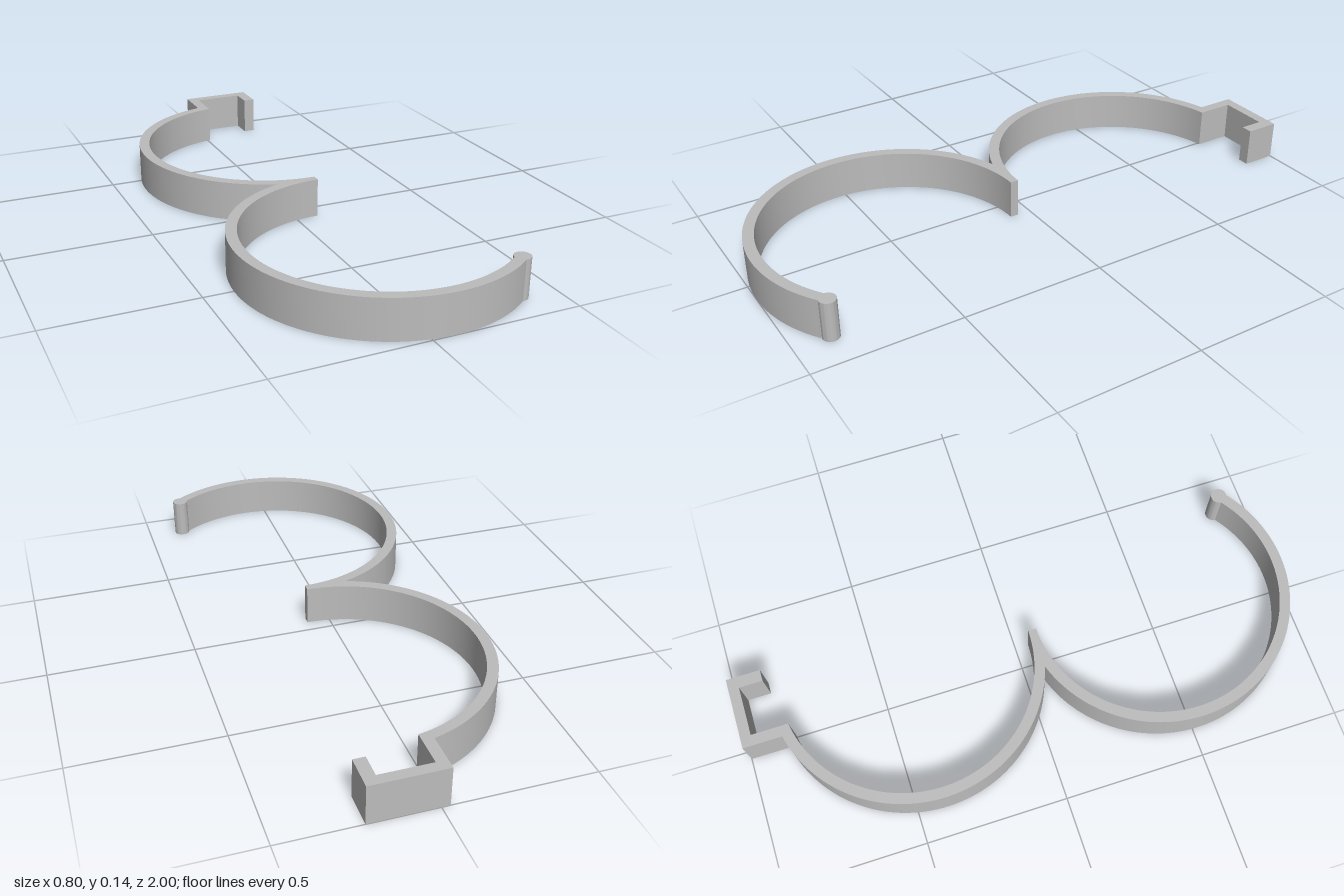
import * as THREE from 'three';
import { toCreasedNormals } from 'three/addons/utils/BufferGeometryUtils.js';

const HEIGHT = 0.137;
const OUTER = 0.48, INNER = 0.443;             // radii of both ring arcs
const CX = 0.08, BACK_Z = -0.395, FRONT_Z = 0.52; // ring centres
const BEAD_R = 0.028, BEAD_ANGLE = THREE.MathUtils.degToRad(51);

// Points along an arc in the ground plane (x, z)
function arc(cx, cz, r, from, to, steps) {
  const pts = [];
  for (let i = 0; i <= steps; i++) {
    const a = from + (to - from) * i / steps;
    pts.push(new THREE.Vector2(cx + r * Math.cos(a), cz + r * Math.sin(a)));
  }
  return pts;
}

function clipOutline() {
  const PI = Math.PI;
  const hookLeft = -0.028, hookInner = 0.01;

  // Where the outer circles meet in the notch between the rings
  const notch = Math.acos((FRONT_Z - BACK_Z) / 2 / OUTER);

  // Rounded bead at the free end of the front ring
  const mid = (OUTER + INNER) / 2, half = (OUTER - INNER) / 2;
  const beadX = CX + mid * Math.cos(BEAD_ANGLE);
  const beadZ = FRONT_Z + mid * Math.sin(BEAD_ANGLE);
  const back = Math.sqrt(BEAD_R ** 2 - half ** 2);
  const sweep = PI / 2 + Math.acos(half / BEAD_R);
  const tip = BEAD_ANGLE - PI / 2;

  return new THREE.Shape([
    // Outer walls, back ring then front ring
    ...arc(CX, BACK_Z, OUTER, 1.5 * PI - Math.asin((CX - hookLeft) / OUTER), PI / 2 + notch, 72),
    ...arc(CX, FRONT_Z, OUTER, 1.5 * PI - notch, BEAD_ANGLE + back / OUTER, 80).slice(1),
    // Bead
    ...arc(beadX, beadZ, BEAD_R, tip + sweep, tip - sweep, 28).slice(1),
    // Inner walls, front ring then back ring, joined by the pointed middle tab
    ...arc(CX, FRONT_Z, INNER, BEAD_ANGLE + back / INNER, 1.5 * PI, 84).slice(1),
    ...arc(CX, BACK_Z, INNER, PI / 2, 1.5 * PI - Math.asin((CX - hookInner) / INNER), 72),
    // Square hook at the back
    ...[[hookInner, -0.963], [0.187, -0.963], [0.187, -0.88], [0.228, -0.88], [0.228, -1], [hookLeft, -1]]
      .map(([x, z]) => new THREE.Vector2(x, z)),
  ]);
}

export function createModel() {
  const group = new THREE.Group();
  group.name = 'doubleRingClip';

  const grey = new THREE.MeshStandardMaterial({ color: 0xbcbcbc });
  grey.name = 'plain grey';

  // Extrude the plan outline and lay it flat on the ground
  const geometry = new THREE.ExtrudeGeometry(clipOutline(), { depth: HEIGHT, bevelEnabled: false });
  geometry.rotateX(Math.PI / 2).translate(0, HEIGHT, 0);

  const clip = new THREE.Mesh(toCreasedNormals(geometry, 0.5), grey);
  clip.name = 'clipBody';
  group.add(clip);
  return group;
}
